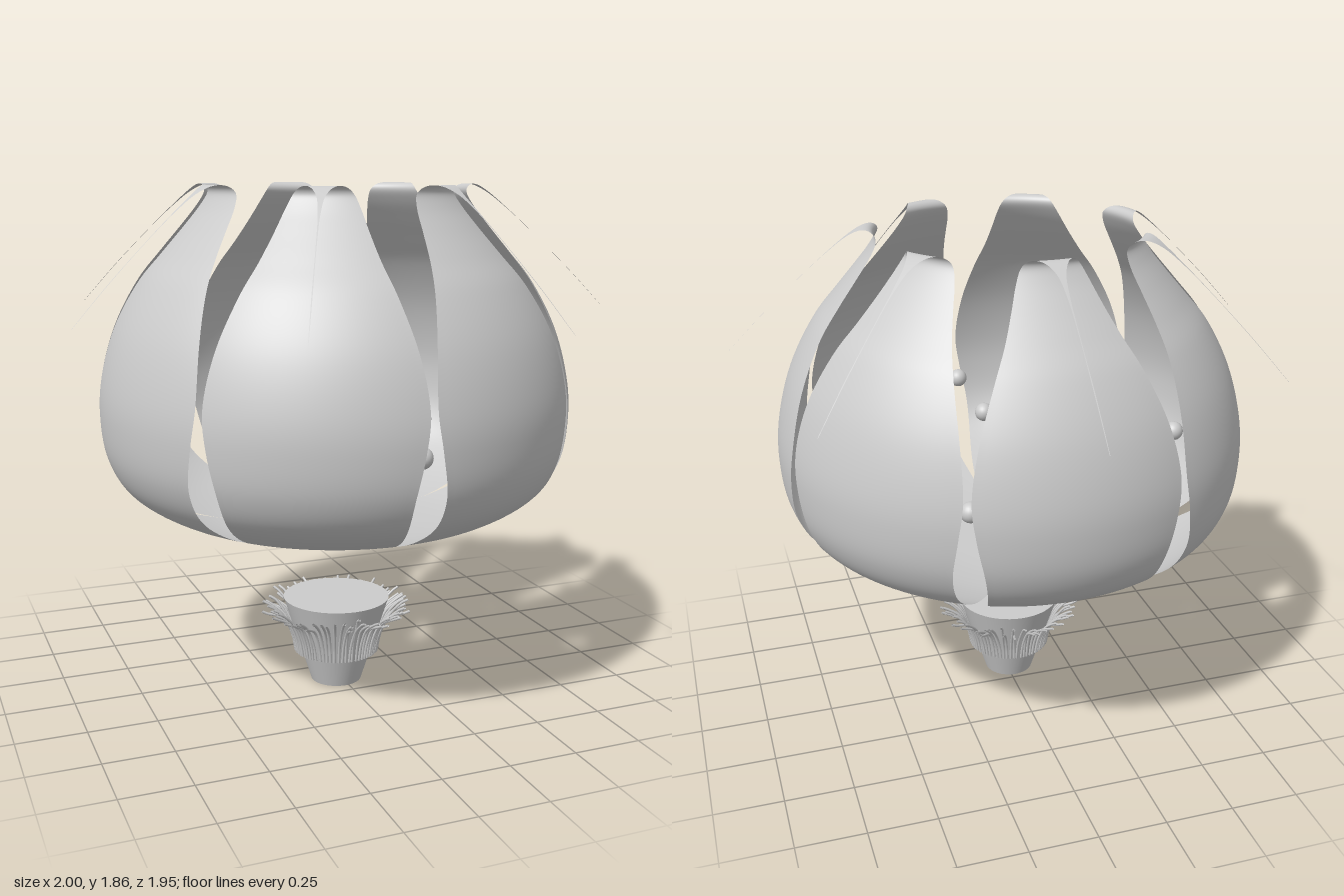
import * as THREE from 'three';

const mat = new THREE.MeshStandardMaterial({ color: 0xcccccc });
const thin = new THREE.MeshStandardMaterial({ color: 0xcccccc, side: THREE.DoubleSide });

// Petal from base to curled spine tip: [radius, height, half width in degrees]
const PETAL = [
  [0.10, 0.615, 25.8], [0.30, 0.62, 25.8], [0.48, 0.645, 25.4], [0.65, 0.70, 23.5],
  [0.78, 0.79, 22], [0.84, 0.90, 22], [0.86, 1.05, 23.7], [0.85, 1.18, 24.8],
  [0.80, 1.36, 23.5], [0.71, 1.53, 20.5], [0.63, 1.63, 18], [0.555, 1.72, 16],
  [0.50, 1.79, 14.3], [0.475, 1.835, 12.3], [0.485, 1.86, 9], [0.52, 1.862, 4.5],
  [0.57, 1.835, 1.5], [0.64, 1.78, 0.4], [0.72, 1.71, 0.15], [0.89, 1.55, 0.12], [1.026, 1.41, 0.05],
];

function petalGeometry(rows = 130, cols = 24) {
  const curve = new THREE.CatmullRomCurve3(
    PETAL.map(([r, y, a]) => new THREE.Vector3(r, y, THREE.MathUtils.degToRad(a))), false, 'centripetal');
  const pos = [], index = [];
  for (let i = 0; i <= rows; i++) {
    const p = curve.getPoint(i / rows);
    // sections are straight at the base opening and round further out
    const flat = 1 - THREE.MathUtils.smoothstep(p.x, 0.1, 0.4);
    for (let j = 0; j <= cols; j++) {
      const a = p.z * (2 * j / cols - 1);
      const r = p.x * THREE.MathUtils.lerp(1, 0.97 / Math.cos(a), flat);
      pos.push(r * Math.sin(a), p.y, r * Math.cos(a));
      if (i < rows && j < cols) {
        const k = i * (cols + 1) + j, n = k + cols + 1;
        index.push(k, k + 1, n, k + 1, n + 1, n);
      }
    }
  }
  const g = new THREE.BufferGeometry();
  g.setAttribute('position', new THREE.Float32BufferAttribute(pos, 3));
  g.setIndex(index);
  g.computeVertexNormals();
  return g;
}

function add(parent, name, geometry, material = mat) {
  const m = new THREE.Mesh(geometry, material);
  m.name = name;
  parent.add(m);
  return m;
}

function makeRandom(seed) {
  return () => (seed = (seed * 16807) % 2147483647) / 2147483647;
}

export function createModel() {
  const model = new THREE.Group();
  model.name = 'flower';

  // Seven petals, one pointing straight back
  const petals = new THREE.Group();
  petals.name = 'petals';
  petals.position.z = 0.05;
  const petal = petalGeometry();
  for (let i = 0; i < 7; i++) {
    add(petals, 'petal', petal, thin).rotation.y = Math.PI + i * Math.PI * 2 / 7;
  }
  model.add(petals);

  // Two flat rings of small balls inside the petals
  const balls = new THREE.Group();
  balls.name = 'balls';
  const ball = new THREE.SphereGeometry(0.037, 24, 16);
  for (const [count, radius, z] of [[6, 0.31, 0.09], [7, 0.67, 0.144]]) {
    for (let i = 0; i < count; i++) {
      const a = i * Math.PI * 2 / count;
      add(balls, 'ball', ball).position.set(radius * Math.sin(a), 1.02, z + radius * Math.cos(a));
    }
  }
  model.add(balls);

  // Tapered base cup
  const base = new THREE.Group();
  base.name = 'base';
  base.position.set(-0.015, 0, 0.113);
  add(base, 'cup', new THREE.CylinderGeometry(0.2, 0.095, 0.33, 48)).position.y = 0.165;

  // Fringe of hairs bending outwards around the cup
  const random = makeRandom(7);
  const hairs = 72;
  for (let i = 0; i < hairs; i++) {
    const reach = 0.25 + 0.035 * random(), top = 0.28 + 0.04 * random();
    const twist = (random() - 0.5) * 0.16;
    const points = [[0.157, 0.12, 0], [0.17, 0.185, 0.2], [0.2, 0.25, 0.6], [reach - 0.02, top - 0.01, 0.9], [reach, top, 1]]
      .map(([r, y, t]) => new THREE.Vector3(r * Math.sin(t * twist), y, r * Math.cos(t * twist)));
    const hair = new THREE.TubeGeometry(new THREE.CatmullRomCurve3(points), 10, 0.005, 6);
    add(base, 'hair', hair, thin).rotation.y = (i + 0.4 * random()) * Math.PI * 2 / hairs;
  }
  model.add(base);

  return model;
}
